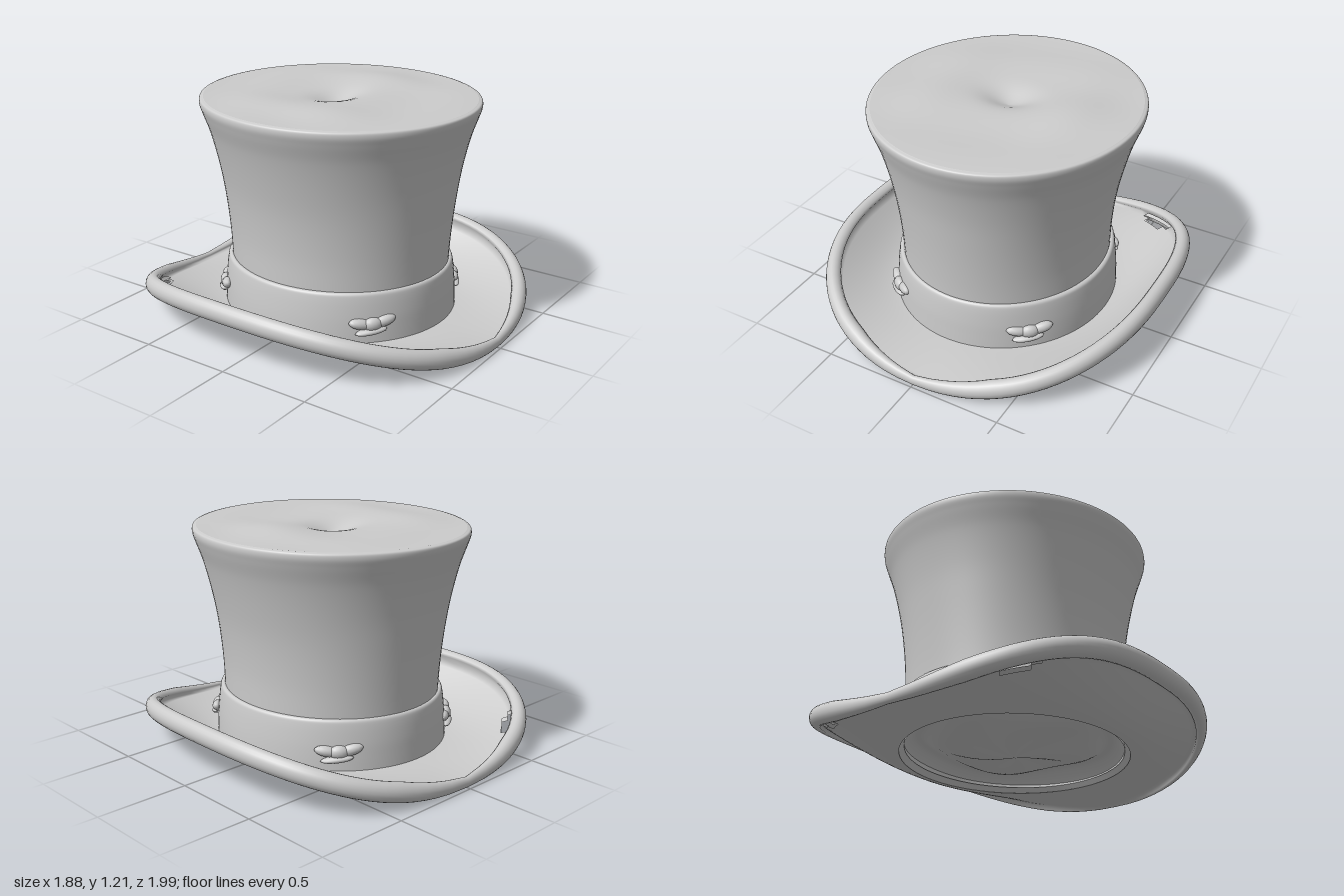
import * as THREE from 'three';

const SEG = 96;
const material = new THREE.MeshStandardMaterial({ color: 0xcccccc, side: THREE.DoubleSide });

// Closed rings of points: at(i, angle) gives [x, y, z] on ring i; open(i, angle) leaves a gap.
function loft(rings, at, open = () => false) {
  const positions = [], indices = [];
  for (let i = 0; i < rings; i++) {
    for (let j = 0; j < SEG; j++) positions.push(...at(i, (j / SEG) * Math.PI * 2));
  }
  for (let i = 0; i < rings - 1; i++) {
    for (let j = 0; j < SEG; j++) {
      if (open(i, ((j + 0.5) / SEG) * Math.PI * 2)) continue;
      const k = (j + 1) % SEG;
      const a = i * SEG + j, b = a + SEG, c = (i + 1) * SEG + k, d = i * SEG + k;
      indices.push(a, b, c, a, c, d);
    }
  }
  const geometry = new THREE.BufferGeometry();
  geometry.setAttribute('position', new THREE.Float32BufferAttribute(positions, 3));
  geometry.setIndex(indices);
  geometry.computeVertexNormals();
  return geometry;
}

function part(name, geometry) {
  const mesh = new THREE.Mesh(geometry, material);
  mesh.name = name;
  return mesh;
}

// Oval shape from a smooth profile of [half width, height, half depth] stations
function oval(stations, steps) {
  const points = new THREE.CatmullRomCurve3(stations.map(p => new THREE.Vector3(...p))).getPoints(steps);
  return loft(points.length, (i, a) => [
    points[i].x * Math.cos(a), points[i].y, points[i].z * Math.sin(a)]);
}

// Flat top with soft waves and a dimple in the middle
function topGeometry() {
  const rings = 24;
  return loft(rings, (i, a) => {
    const r = 0.69 * (1 - i / (rings - 1));
    const x = r * Math.cos(a), z = r * 1.058 * Math.sin(a);
    const fade = 1 - (r / 0.69) ** 4;
    const waves = 0.022 * Math.exp(-((Math.abs(x) - 0.38) ** 2) / 0.03 - z * z / 0.15)
      + 0.005 * Math.sin(11 * z + 3 * x);
    const dimple = -0.05 * Math.exp(-x * x / 0.016 - (z + 0.02) ** 2 / 0.01);
    return [x, 1.196 + fade * (waves + dimple), z];
  });
}

// Brim: flat underside that sweeps up at the sides into a rolled rim, thin at front and back
function brimGeometry() {
  const section = []; // { t: inner edge to rim, roll: angle around rim, top }
  for (let i = 0; i <= 12; i++) section.push({ t: (i / 12) * 0.96, top: 0 });
  for (let i = 0; i <= 14; i++) section.push({ roll: -1.9 + (i / 14) * 4.5 });
  for (let i = 12; i >= 0; i--) section.push({ t: (i / 12) * 0.96, top: 1 });

  // Two slits beside the rim at the back corners
  const slit = (i, a) => {
    const row = Math.min(i, section.length - 2 - i);
    const offset = Math.abs(Math.abs(a - 1.5 * Math.PI) - 0.63);
    return (row === 11 && offset < 0.16) || (row === 10 && offset < 0.1);
  };

  const bend = (v, e) => Math.sign(v) * Math.abs(v) ** e;
  return loft(section.length, (i, a) => {
    const { t = 1, roll, top } = section[i];
    const c = Math.cos(a), s = Math.sin(a);
    const e = 2 / (s > 0 ? 2.4 : 2.8); // back corners are squarer
    const side = Math.abs(c) ** e;
    const full = Math.min(1, side / 0.45); // how fully the rim is rolled
    const rollWidth = 0.02 + 0.025 * full;
    const rimX = 0.895 * bend(c, e), rimZ = (0.995 - rollWidth) * bend(s, e);
    const rimY = 0.036 + 0.012 * full + 0.208 * side * side;
    const x = 0.585 * c + (rimX - 0.585 * c) * t;
    const z = 0.62 * s + (rimZ - 0.62 * s) * t;
    if (roll !== undefined) {
      const out = rollWidth * Math.cos(roll);
      const up = (0.028 + 0.025 * full) * Math.sin(roll);
      return [x + out * c, rimY + up, z + out * s];
    }
    return [x, 0.034 + (rimY - 0.056) * t ** 1.6 + 0.022 * top, z];
  }, slit);
}

// Inner lining: a hollow ring around a broad, uneven middle
function liningGeometry() {
  const profile = new THREE.SplineCurve([
    [0, 0.03], [0.22, 0.05], [0.38, 0.085], [0.48, 0.13], [0.54, 0.1], [0.59, 0.036],
  ].map(p => new THREE.Vector2(...p))).getPoints(24);
  return loft(profile.length, (i, a) => {
    const { x: r, y } = profile[i];
    const lump = 0.018 * Math.sin(Math.PI * r / 0.59) * Math.sin(4 * a + 5 * r);
    return [r * Math.cos(a), y + lump, r * 1.06 * Math.sin(a)];
  });
}

// Gathered knot: overlapping flattened folds
function knot() {
  const group = new THREE.Group();
  const folds = [
    [0, 0.005, 0.005, 0.05, 0.036, 0.03, 0],
    [-0.06, 0.008, -0.005, 0.065, 0.028, 0.03, -0.2],
    [0.06, 0.014, -0.005, 0.065, 0.03, 0.03, 0.25],
    [-0.01, -0.03, 0.01, 0.085, 0.018, 0.03, 0.1],
  ];
  for (const [x, y, z, w, h, d, tilt] of folds) {
    const fold = part('knotFold', new THREE.SphereGeometry(1, 14, 10));
    fold.position.set(x, y, z);
    fold.scale.set(w, h, d);
    fold.rotation.z = tilt;
    group.add(fold);
  }
  return group;
}

export function createModel() {
  const hat = new THREE.Group();
  hat.name = 'topHat';

  // Flared crown with a rounded upper edge
  hat.add(part('crown', oval([
    [0.555, 0.06, 0.6], [0.558, 0.3, 0.605], [0.562, 0.48, 0.618], [0.583, 0.68, 0.64],
    [0.617, 0.85, 0.665], [0.662, 1.02, 0.704], [0.698, 1.12, 0.738], [0.711, 1.165, 0.752],
    [0.708, 1.188, 0.75], [0.69, 1.196, 0.73],
  ], 60)));
  hat.add(part('crownTop', topGeometry()));

  // Band around the foot of the crown
  hat.add(part('band', oval([
    [0.606, 0.045, 0.645], [0.604, 0.12, 0.642], [0.598, 0.2, 0.638], [0.586, 0.29, 0.628],
    [0.58, 0.312, 0.622], [0.568, 0.32, 0.612], [0.55, 0.316, 0.595],
  ], 30)));

  hat.add(part('brim', brimGeometry()));
  hat.add(part('lining', liningGeometry()));

  // Four knots, two in front and two behind
  for (const x of [-0.4, 0.4]) {
    for (const z of [-0.48, 0.48]) {
      const k = knot();
      k.name = (z > 0 ? 'front' : 'back') + (x > 0 ? 'Left' : 'Right') + 'Knot';
      k.position.set(x, 0.155, z);
      k.rotation.y = Math.atan2(x, z);
      hat.add(k);
    }
  }
  return hat;
}
